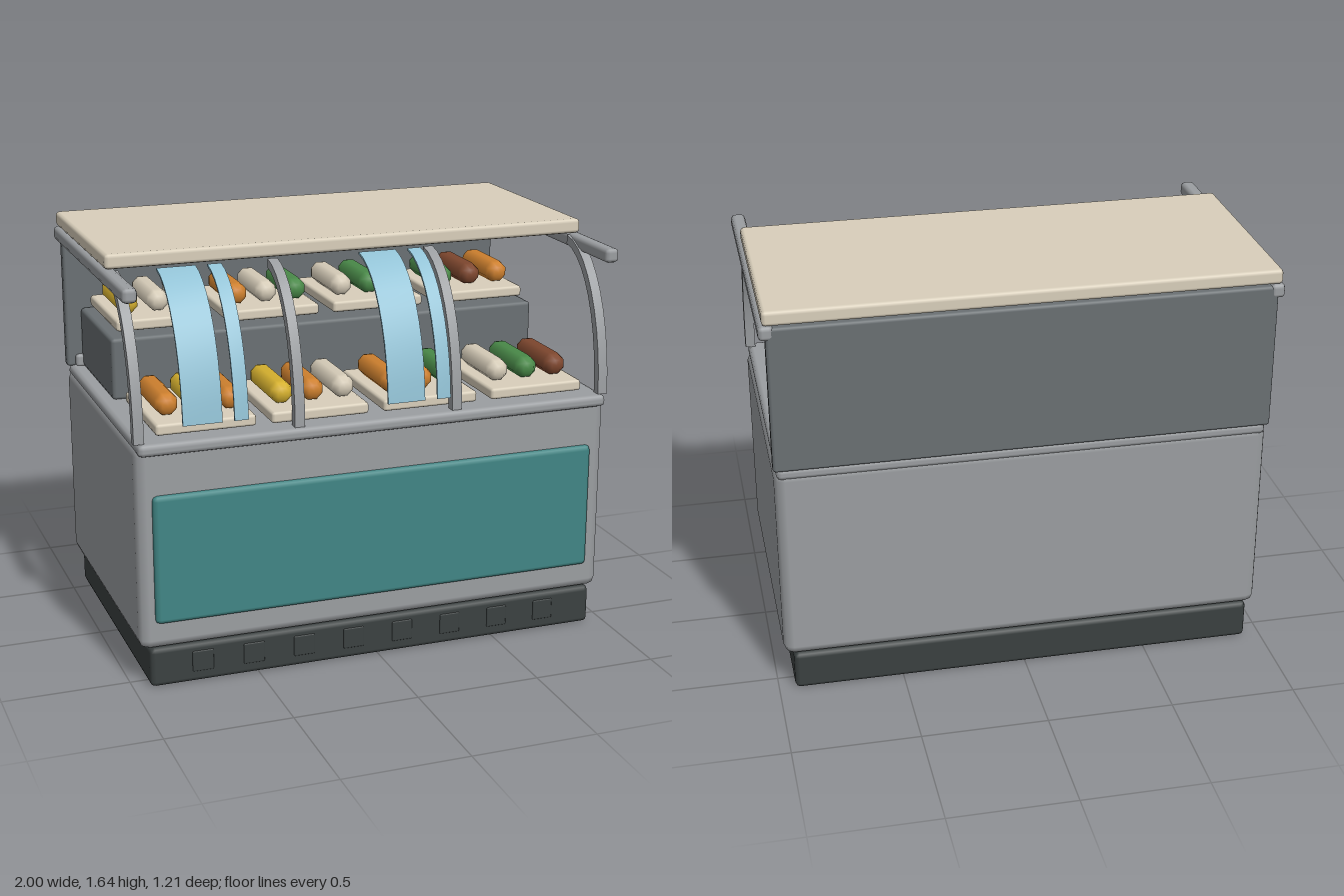
import * as THREE from 'three';
import { toCreasedNormals } from 'three/addons/utils/BufferGeometryUtils.js';
import { RoundedBoxGeometry } from 'three/addons/geometries/RoundedBoxGeometry.js';

const mat = (name, color) => {
  const m = new THREE.MeshStandardMaterial({ color });
  m.name = name;
  return m;
};

export function createModel() {
  const cream = mat('cream', 0xd9cfbb);
  const metal = mat('metal', 0x9b9ea1);
  const slate = mat('slate', 0x6a7073);
  const charcoal = mat('charcoal', 0x3b4141);
  const teal = mat('teal', 0x418685);
  const glass = mat('glass blue', 0x92c2d5);
  const orange = mat('orange', 0xd1822f);
  const yellow = mat('yellow', 0xd9b32f);
  const green = mat('green', 0x4b8c4a);
  const brown = mat('brown', 0x80482f);

  const model = new THREE.Group();
  model.name = 'displayCounter';

  const add = (name, geometry, material, x = 0, y = 0, z = 0) => {
    const mesh = new THREE.Mesh(geometry, material);
    mesh.name = name;
    mesh.position.set(x, y, z);
    model.add(mesh);
    return mesh;
  };

  // Softly bevelled box given by its limits on each axis
  const box = (name, material, [x0, x1], [y0, y1], [z0, z1], bevel = 0.012) =>
    add(name, new RoundedBoxGeometry(x1 - x0, y1 - y0, z1 - z0, 1, bevel), material,
      (x0 + x1) / 2, (y0 + y1) / 2, (z0 + z1) / 2);

  // Cabinet
  box('plinth', charcoal, [-0.935, 0.935], [0, 0.16], [-0.587, 0.582], 0.02);
  box('cabinetBody', metal, [-0.972, 0.972], [0.155, 0.975], [-0.587, 0.582], 0.04);
  box('frontPanel', teal, [-0.912, 0.908], [0.265, 0.782], [0.55, 0.602], 0.02);
  box('countertop', metal, [-0.963, 0.963], [0.94, 0.99], [-0.587, 0.605], 0.02);
  for (let i = 0; i < 8; i++) {
    const x = -0.727 + i * 0.207;
    box('plinthVent', charcoal, [x - 0.043, x + 0.043], [0.045, 0.13], [0.565, 0.586], 0.005);
  }

  // Back wall with its crossbars, riser step and roof
  box('backWall', slate, [-0.975, 0.975], [0.985, 1.575], [-0.6, -0.548]);
  box('upperBackBar', metal, [-0.94, 0.94], [1.5, 1.58], [-0.56, -0.526]);
  box('lowerBackBar', metal, [-0.94, 0.94], [0.985, 1.037], [-0.56, -0.526]);
  box('riser', slate, [-0.91, 0.91], [0.985, 1.237], [-0.553, 0], 0.015);
  box('roof', cream, [-0.988, 0.985], [1.583, 1.642], [-0.603, 0.28], 0.015);
  for (const s of [-1, 1]) {
    const x = s * 0.971;
    box('sideRail', metal, [x - 0.029, x + 0.029], [1.525, 1.582], [-0.603, 0.592], 0.017);
  }

  // Curved band running up and back along a quarter ellipse
  const band = (rz, ry, thickness, width, from, to) => {
    const outer = [], inner = [], steps = 10;
    for (let i = 0; i <= steps; i++) {
      const a = from + (to - from) * i / steps;
      const c = Math.cos(a), s = Math.sin(a);
      outer.push(new THREE.Vector2(0.24 + rz * c, 0.99 + ry * s));
      inner.push(new THREE.Vector2(0.24 + (rz - thickness) * c, 0.99 + (ry - thickness) * s));
    }
    const geo = new THREE.ExtrudeGeometry(new THREE.Shape([...outer, ...inner.reverse()]),
      { depth: width, bevelEnabled: false });
    geo.translate(0, 0, -width / 2).rotateY(-Math.PI / 2);
    return toCreasedNormals(geo, 0.6);
  };

  // Front arms and glass strips
  const armGeo = band(0.345, 0.588, 0.036, 0.04, 0, 1.5);
  for (const x of [-0.955, -0.327, 0.32, 0.955]) add('curvedArm', armGeo, metal, x);
  for (const [x0, x1] of [[-0.79, -0.637], [-0.59, -0.535], [0.025, 0.178], [0.23, 0.285]]) {
    add('glassStrip', band(0.364, 0.588, 0.009, x1 - x0, 0.1, 1.48), glass, (x0 + x1) / 2);
  }

  // Trays with three rolls each
  const rollGeo = new THREE.LatheGeometry([
    [0, -0.157], [0.024, -0.157], [0.042, -0.137], [0.047, -0.115],
    [0.047, 0.115], [0.042, 0.137], [0.024, 0.157], [0, 0.157],
  ].map(([r, y]) => new THREE.Vector2(r, y)), 8);
  rollGeo.rotateY(Math.PI / 8).rotateX(Math.PI / 2);

  const rows = [
    {
      name: 'lower', y: 1.0, z: 0.31,
      rolls: [[orange, yellow, orange], [yellow, orange, cream], [orange, orange, green], [cream, green, brown]],
    },
    {
      name: 'upper', y: 1.257, z: -0.262,
      rolls: [[yellow, cream, cream], [orange, cream, green], [cream, green, brown], [green, brown, orange]],
    },
  ];
  for (const { name, y, z, rolls } of rows) {
    rolls.forEach((trio, i) => {
      const x = -0.682 + i * 0.4547;
      box(name + 'Tray', cream, [x - 0.197, x + 0.197], [y, y + 0.045], [z - 0.234, z + 0.234]);
      trio.forEach((material, j) =>
        add(name + 'Roll', rollGeo, material, x + (j - 1) * 0.126, y + 0.09, z));
    });
  }

  return model;
}
